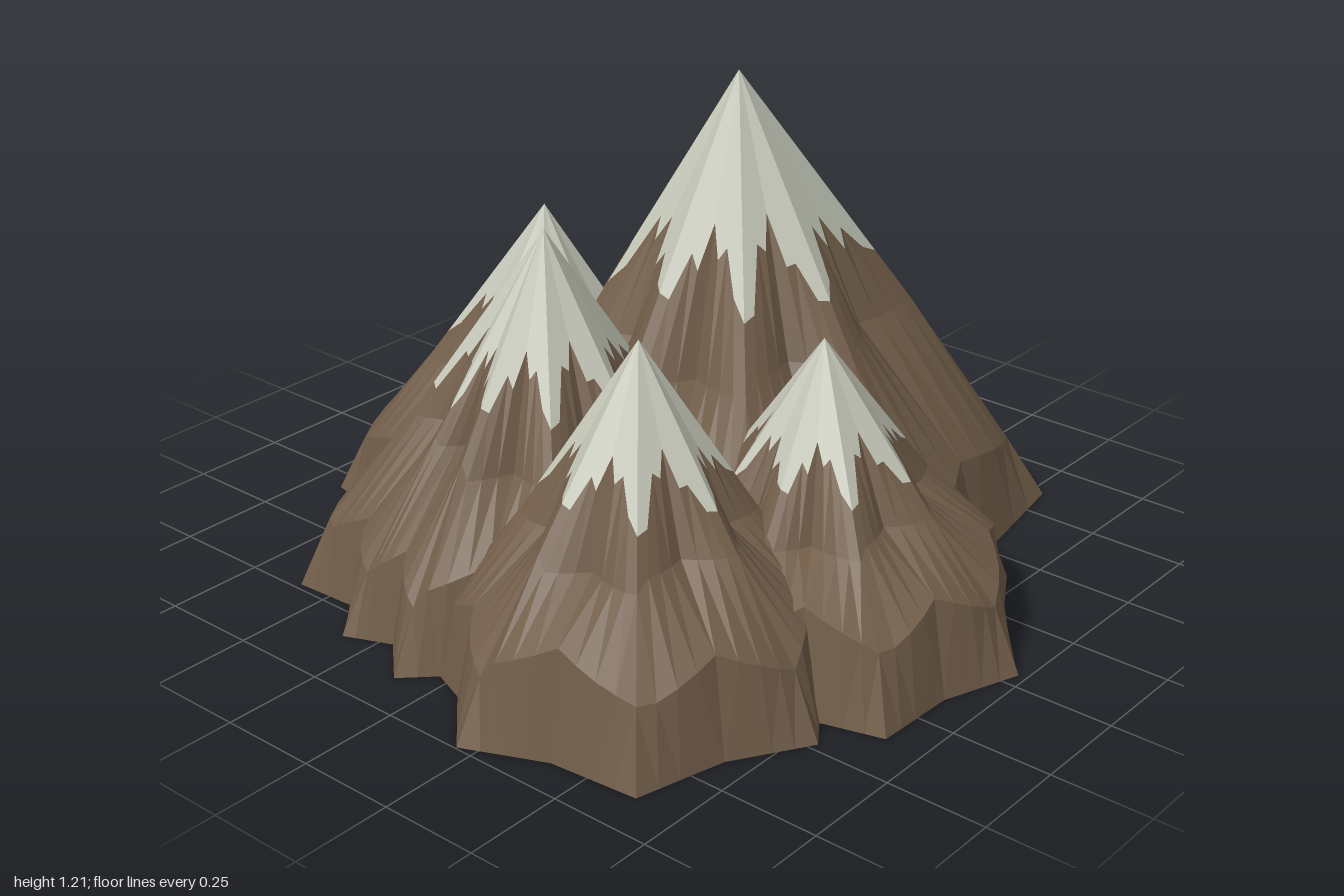
import * as THREE from 'three';

const rock = new THREE.MeshStandardMaterial({ color: 0x715d49, flatShading: true, side: THREE.DoubleSide });
const snow = new THREE.MeshStandardMaterial({ color: 0xc2c5b6, flatShading: true, side: THREE.DoubleSide });

// Summit position, height, and ridges as [degrees from +x towards +z, base radius]
const PEAKS = [
  { name: 'mainPeak', x: 0, z: -0.22, h: 1.21,
    ridges: [[5, 0.7], [48, 0.7], [90, 0.7], [132, 0.7], [170, 0.7], [205, 0.81], [254, 0.81], [310, 0.83]] },
  { name: 'leftFrontPeak', x: 0.27, z: 0.46, h: 0.81,
    ridges: [[2, 0.53], [50, 0.56], [97, 0.54], [140, 0.5], [183, 0.5], [228, 0.5], [272, 0.5], [318, 0.5]] },
  { name: 'rightFrontPeak', x: -0.17, z: 0.29, h: 0.91,
    ridges: [[0, 0.55], [45, 0.57], [84, 0.6], [107, 0.57], [134, 0.615], [180, 0.52], [232, 0.55], [300, 0.55]] },
  { name: 'rightPeak', x: -0.47, z: -0.03, h: 0.81,
    ridges: [[5, 0.5], [50, 0.5], [96, 0.5], [142, 0.56], [198, 0.55], [240, 0.5], [280, 0.5], [322, 0.5]] },
  { name: 'leftPeak', x: 0.48, z: 0.06, h: 0.74,
    ridges: [[-12, 0.51], [36, 0.52], [80, 0.48], [122, 0.48], [165, 0.48], [208, 0.48], [250, 0.48], [295, 0.53]] },
];

// Eight columns per ridge: ridge (0) to valley (1) and back towards the next ridge
const ACROSS = [0, 0.25, 0.5, 0.75, 1, 0.75, 0.5, 0.25];
const SNOW_LINE = [0.42, 0.4, 0.33, 0.35, 0.27, 0.34, 0.31, 0.41];

const polar = (deg, r) => {
  const a = THREE.MathUtils.degToRad(deg);
  return new THREE.Vector3(r * Math.cos(a), 0, r * Math.sin(a));
};

// One closed ring; place(column, ridge) gives [outward scale, height]
function makeRing({ x, z, ridges }, ridgeSize, valleySize, bulge, place) {
  const ring = [];
  const n = ridges.length;
  ridges.forEach(([a0, r0], k) => {
    const [next, r1] = ridges[(k + 1) % n];
    const a1 = k === n - 1 ? next + 360 : next;
    const valley = polar((a0 + a1) / 2, valleySize * (r0 + r1) / 2);
    ACROSS.forEach((t, c) => {
      const ridge = c < 4 ? polar(a0, ridgeSize * r0) : polar(a1, ridgeSize * r1);
      const [scale, y] = place(c, k);
      const p = ridge.lerp(valley, t).multiplyScalar(scale * (1 + bulge * Math.sin(Math.PI * t)));
      ring.push(p.add(new THREE.Vector3(x, y, z)));
    });
  });
  return ring;
}

// Outward facing triangles between consecutive rings, fanned from the ridges
function loft(rings) {
  const triangles = [];
  for (let j = 0; j < rings.length - 1; j++) {
    const up = rings[j], low = rings[j + 1], n = low.length;
    for (let i = 0; i < n; i++) {
      const m = (i + 1) % n;
      if (up.length === 1) triangles.push([up[0], low[m], low[i]]);
      else if (i % 8 < 4) triangles.push([up[i], up[m], low[m]], [up[i], low[m], low[i]]);
      else triangles.push([up[i], up[m], low[i]], [up[m], low[m], low[i]]);
    }
  }
  return triangles;
}

function shapePeak(peak) {
  const { x, z, h } = peak;
  const summit = [new THREE.Vector3(x, h, z)];
  const snowLine = makeRing(peak, 1.05, 0.92, 0, (c, k) => {
    const f = SNOW_LINE[c] + 0.02 * Math.sin(k * 2.4 + c);
    return [f, h * (1 - f)];
  });
  const waist = makeRing(peak, 1.05, 0.8, 0.05, (c, k) => {
    const f = 0.53 + 0.03 * Math.sin(k * 1.7);
    return [f, h * (1 - f)];
  });
  const shoulder = makeRing(peak, 0.87, 0.76, 0.04,
    (c, k) => [1, 0.16 + 0.08 * ACROSS[c] + 0.02 * Math.sin(k * 1.9)]);
  const base = makeRing(peak, 1, 0.85, 0, () => [1, 0]);
  return {
    peak,
    snowCap: loft([summit, snowLine]),
    rockSlopes: loft([snowLine, waist, shoulder, base]),
  };
}

// Height of a triangle above the ground point p, or -1 outside it
function heightOver([a, b, c], p) {
  const d = (b.z - c.z) * (a.x - c.x) + (c.x - b.x) * (a.z - c.z);
  const u = ((b.z - c.z) * (p.x - c.x) + (c.x - b.x) * (p.z - c.z)) / d;
  const v = ((c.z - a.z) * (p.x - c.x) + (a.x - c.x) * (p.z - c.z)) / d;
  const w = 1 - u - v;
  return u >= 0 && v >= 0 && w >= 0 ? u * a.y + v * b.y + w * c.y : -1;
}

const isBuried = (p, others) => others.some(({ peak, snowCap, rockSlopes }) =>
  Math.hypot(p.x - peak.x, p.z - peak.z) < 0.9 &&
  [snowCap, rockSlopes].some((list) => list.some((t) => heightOver(t, p) > p.y)));

// Cuts away what lies inside other peaks by halving triangles along the crossing
function trim(triangle, others) {
  const lengths = triangle.map((p, i) => p.distanceTo(triangle[(i + 1) % 3]));
  const longest = Math.max(...lengths);
  const buried = triangle.filter((p) => isBuried(p, others)).length;
  const mixed = buried > 0 && buried < 3;
  if (longest < (mixed ? 0.03 : 0.12)) return buried === 3 ? [] : [triangle];

  const i = lengths.indexOf(longest);
  const a = triangle[i], b = triangle[(i + 1) % 3], c = triangle[(i + 2) % 3];
  const mid = a.clone().lerp(b, 0.5);
  const halves = [[a, mid, c], [mid, b, c]];
  const kept = halves.map((half) => trim(half, others));
  const whole = kept.every((list, k) => list.length === 1 && list[0] === halves[k]);
  return whole ? [triangle] : kept.flat();
}

function makeMesh(name, triangles, material) {
  const geometry = new THREE.BufferGeometry().setFromPoints(triangles.flat());
  geometry.computeVertexNormals();
  const mesh = new THREE.Mesh(geometry, material);
  mesh.name = name;
  return mesh;
}

export function createModel() {
  const model = new THREE.Group();
  model.name = 'mountainRange';
  const shapes = PEAKS.map(shapePeak);
  for (const shape of shapes) {
    const others = shapes.filter((s) => s !== shape);
    const visible = (list) => list.flatMap((t) => trim(t, others));
    const group = new THREE.Group();
    group.name = shape.peak.name;
    group.add(makeMesh('snowCap', visible(shape.snowCap), snow));
    group.add(makeMesh('rockSlopes', visible(shape.rockSlopes), rock));
    model.add(group);
  }
  return model;
}
